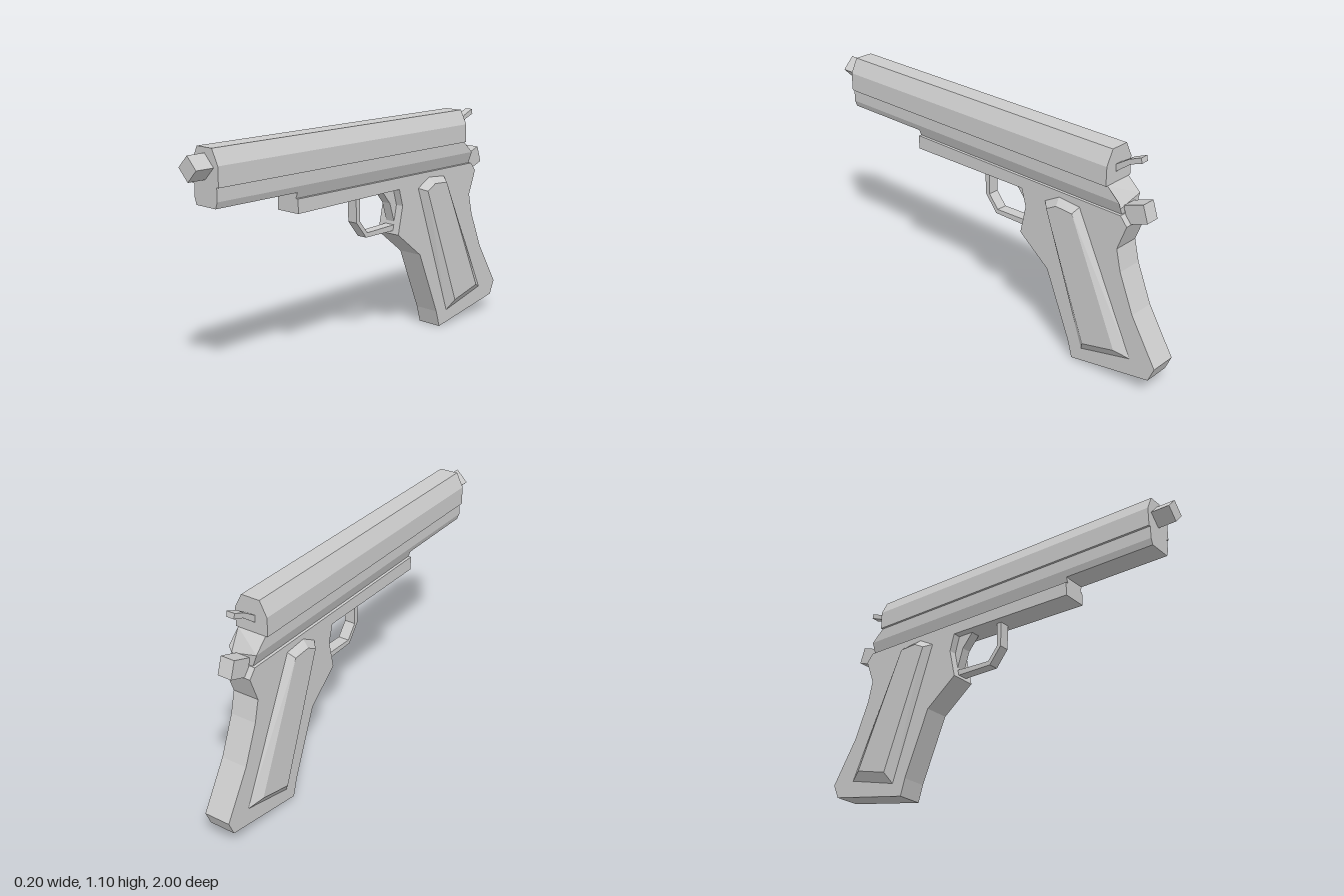
import * as THREE from 'three';
import { ConvexGeometry } from 'three/addons/geometries/ConvexGeometry.js';

const material = new THREE.MeshStandardMaterial({ color: 0xcccccc, flatShading: true });

function named(name, geometry) {
  const mesh = new THREE.Mesh(geometry, material);
  mesh.name = name;
  return mesh;
}

function extrude(points, depth) {
  const shape = new THREE.Shape(points.map(([a, b]) => new THREE.Vector2(a, b)));
  return new THREE.ExtrudeGeometry(shape, { depth, bevelEnabled: false });
}

// Side profile of [z, y] points, extruded across x to +-halfWidth
function plate(name, profile, halfWidth) {
  const g = extrude(profile, halfWidth * 2);
  g.translate(0, 0, -halfWidth);
  g.rotateY(-Math.PI / 2);
  return named(name, g);
}

// Half cross-section of [x, y] points, mirrored and run along z
function bar(name, half, back, front) {
  const mirrored = half.map(([x, y]) => [-x, y]).reverse();
  const g = extrude([...half, ...mirrored], front - back);
  g.translate(0, 0, back);
  return named(name, g);
}

export function createModel() {
  const model = new THREE.Group();
  model.name = 'pistol';

  // Slide: chamfered upper part, narrower lower part
  model.add(bar('slideTop', [[0.083, 0.94], [0.083, 1.03], [0.047, 1.1]], -0.705, 0.91));
  const lower = bar('slideLower', [[0.061, 0.85], [0.072, 0.88], [0.072, 0.94]], -0.77, 0.91);
  const p = lower.geometry.attributes.position;
  for (let i = 0; i < p.count; i++) {
    // slope the rear end under the upper slide
    if (p.getZ(i) < 0 && p.getY(i) > 0.9) p.setZ(i, -0.705);
  }
  lower.geometry.computeVertexNormals();
  model.add(lower);
  model.add(bar('slideRail', [[0.05, 0.82], [0.061, 0.85]], -0.77, 0.45));

  // Square barrel turned on its corner
  const barrel = new THREE.CylinderGeometry(0.056, 0.056, 0.14, 4);
  barrel.rotateX(Math.PI / 2);
  barrel.translate(0, 1.02, 0.93);
  model.add(named('barrel', barrel));

  // Frame and grip in one profile
  model.add(plate('frame', [
    [0.45, 0.822], [0.45, 0.755], [-0.22, 0.765], [-0.245, 0.68], [-0.215, 0.54],
    [-0.38, 0.41], [-0.515, 0.085], [-0.54, 0], [-0.97, 0.08], [-1, 0.15],
    [-0.866, 0.37], [-0.79, 0.555], [-0.765, 0.66], [-0.81, 0.78], [-0.775, 0.822],
  ], 0.065));

  // Trigger guard and trigger
  model.add(plate('triggerGuard', [
    [0.043, 0.765], [0.038, 0.637], [-0.027, 0.556], [-0.23, 0.556], [-0.235, 0.585],
    [-0.037, 0.578], [0.016, 0.642], [0.016, 0.765],
  ], 0.027));
  model.add(plate('trigger', [
    [-0.138, 0.765], [-0.197, 0.695], [-0.233, 0.585], [-0.24, 0.585], [-0.25, 0.685],
    [-0.22, 0.765],
  ], 0.025));

  // Raised grip panels: wide base outline, smaller outer face
  const base = [[-0.36, 0.75], [-0.44, 0.795], [-0.555, 0.785], [-0.866, 0.145], [-0.595, 0.075]];
  const face = [[-0.395, 0.735], [-0.45, 0.765], [-0.54, 0.76], [-0.8, 0.175], [-0.625, 0.13]];
  for (const [name, side] of [['leftGripPanel', 1], ['rightGripPanel', -1]]) {
    const corners = [
      ...base.map(([z, y]) => new THREE.Vector3(side * 0.065, y, z)),
      ...face.map(([z, y]) => new THREE.Vector3(side * 0.098, y, z)),
    ];
    model.add(named(name, new ConvexGeometry(corners)));
  }

  // Bent hammer and the block below it
  model.add(plate('hammer', [
    [-0.7, 1.02], [-0.77, 1.065], [-0.83, 1.09], [-0.835, 1.065], [-0.78, 1.045], [-0.7, 0.985],
  ], 0.02));
  model.add(plate('rearBlock', [
    [-0.765, 0.857], [-0.866, 0.893], [-0.893, 0.813], [-0.795, 0.777],
  ], 0.035));

  return model;
}
